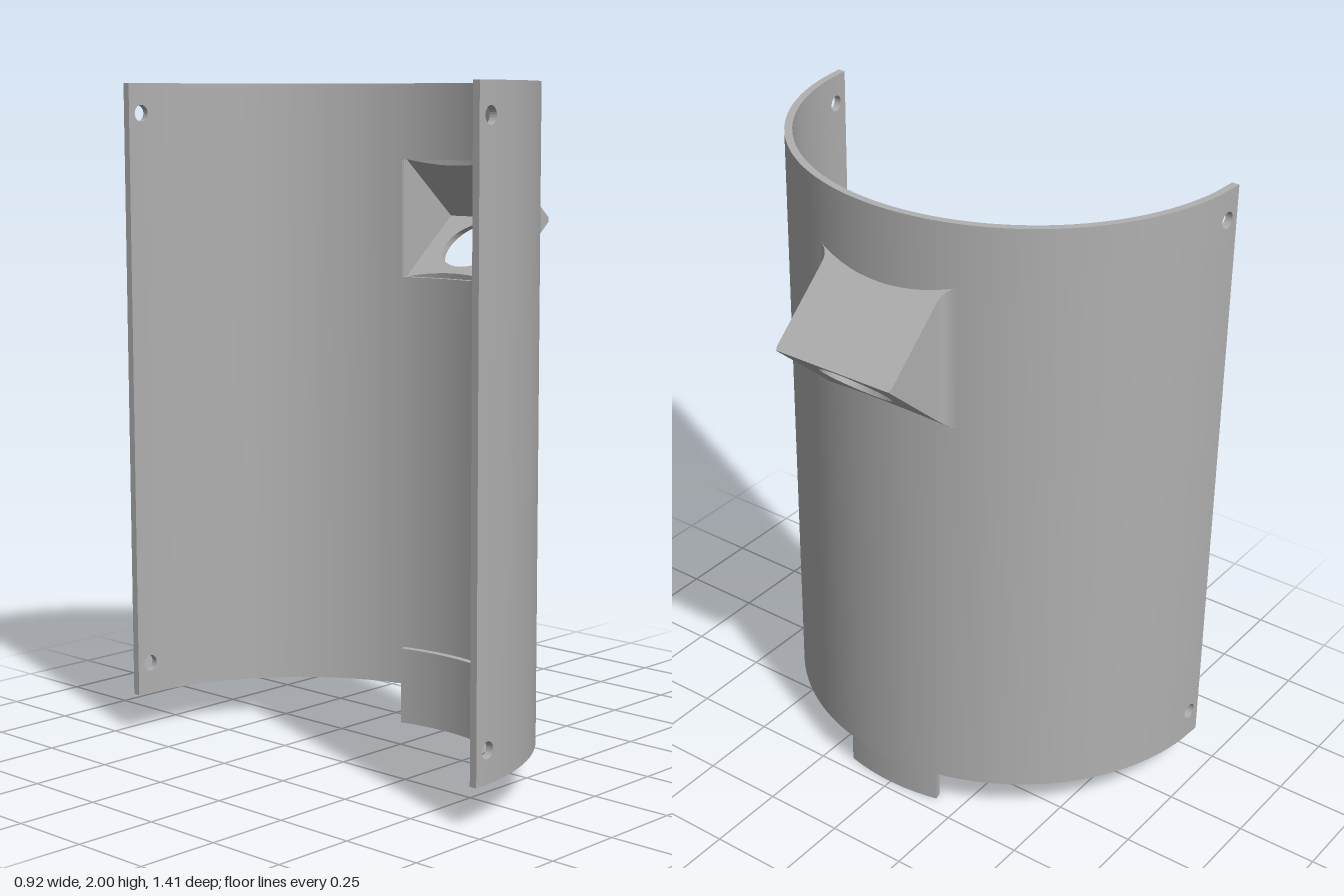
import * as THREE from 'three';
import { toCreasedNormals } from 'three/addons/utils/BufferGeometryUtils.js';

const grey = new THREE.MeshStandardMaterial({ color: 0xb0b0b0 });
grey.name = 'grey';

const CX = -0.46, RO = 0.703, RI = 0.68, Y0 = 0.12, Y1 = 2;   // shell axis, radii, height
const TIP = 0.455, MID = 1.59, SLOPE = 0.872;                 // housing ridge and slope
const COS = 1 / Math.hypot(1, SLOPE), SIN = SLOPE * COS;
const HALF = 0.176;                                           // half width of the housing cavity
const rad = THREE.MathUtils.degToRad;

function part(name, geometry) {
  const mesh = new THREE.Mesh(geometry, grey);
  mesh.name = name;
  return mesh;
}

// Moves every vertex by a rule, then rebuilds normals with sharp edges kept
function reshape(geometry, rule) {
  const p = geometry.attributes.position, v = new THREE.Vector3();
  for (let i = 0; i < p.count; i++) {
    rule(v.fromBufferAttribute(p, i));
    p.setXYZ(i, v.x, v.y, v.z);
  }
  return toCreasedNormals(geometry, 0.6);
}

// Half-round shell: columns bent round the axis, with a window and four screw holes
function shellGeometry() {
  const pos = [], nor = [];
  const bend = (p, r) => new THREE.Vector3(CX + r * Math.cos(p.x), p.y, -r * Math.sin(p.x));
  const tri = (pts, normals) => pts.forEach((p, i) => {
    pos.push(p.x, p.y, p.z);
    nor.push(normals[i].x, normals[i].y, normals[i].z);
  });

  const edges = [-90, -83];
  for (let a = -81; a <= 81; a += 3) edges.push(a);
  edges.push(83, 90);

  const rim = (loop) => loop.forEach((a, i) => {
    const b = loop[(i + 1) % loop.length];
    const [ia, ib, ob, oa] = [bend(a, RI), bend(b, RI), bend(b, RO), bend(a, RO)];
    const n = ib.clone().sub(ia).cross(ob.clone().sub(ia)).normalize();
    tri([ia, ib, ob], [n, n, n]);
    tri([ia, ob, oa], [n, n, n]);
  });

  const face = (shape) => {
    const g = new THREE.ShapeGeometry(shape), q = g.attributes.position, idx = g.index.array;
    for (let i = 0; i < idx.length; i += 3) {
      const pts = [0, 1, 2].map((k) => new THREE.Vector3().fromBufferAttribute(q, idx[i + k]));
      const out = pts.map((p) => new THREE.Vector3(Math.cos(p.x), 0, -Math.sin(p.x)));
      tri(pts.map((p) => bend(p, RO)), out);
      tri(pts.map((p) => bend(p, RI)).reverse(), out.map((n) => n.clone().negate()).reverse());
    }
  };

  const box = (a, b, lo, hi) => new THREE.Shape([[a, lo], [b, lo], [b, hi], [a, hi]]
    .map(([x, y]) => new THREE.Vector2(x, y)));
  const WLO = 1.41, WHI = 1.77;
  for (let i = 0; i < edges.length - 1; i++) {
    const a = rad(edges[i]), b = rad(edges[i + 1]);
    if (edges[i] >= -15 && edges[i + 1] <= 15) {
      face(box(a, b, Y0, WLO));
      face(box(a, b, WHI, Y1));
      continue;
    }
    const column = box(a, b, Y0, Y1);
    if (i === 0 || i === edges.length - 2) {
      for (const y of [0.215, 1.91]) {
        const hole = new THREE.Path();
        hole.absellipse(Math.sign(a) * rad(86.1), y, 0.025 / RO, 0.025, 0, Math.PI * 2, true);
        column.holes.push(hole);
        rim(hole.getPoints(12).slice(0, -1));
      }
    }
    face(column);
  }

  // Outer rim and window rim
  const row = (list, y) => list.map((d) => new THREE.Vector2(rad(d), y));
  const inner = edges.filter((d) => Math.abs(d) <= 15);
  rim([...row(edges, Y0), ...row(edges, Y1).reverse()]);
  rim([...row(inner, WLO), ...row(inner, WHI).reverse()].reverse());

  const g = new THREE.BufferGeometry();
  g.setAttribute('position', new THREE.Float32BufferAttribute(pos, 3));
  g.setAttribute('normal', new THREE.Float32BufferAttribute(nor, 3));
  return g;
}

// Sloped plate from the ridge to the shell; side +1 is the roof, -1 the underside with the round port
function plateGeometry(side) {
  const shape = new THREE.Shape();
  shape.moveTo(-HALF, 0).lineTo(HALF, 0);
  for (let i = 0; i <= 12; i++) {
    const z = HALF * (1 - i / 6);
    shape.lineTo(z, (TIP - CX - Math.sqrt(0.49 - z * z)) / COS);
  }
  if (side < 0) {
    const port = new THREE.Path();
    port.absarc(0, 0.139, 0.112, 0, Math.PI * 2, true);
    shape.holes.push(port);
  }
  const g = new THREE.ExtrudeGeometry(shape, { depth: 1, bevelEnabled: false, curveSegments: 40 });
  return reshape(g, (v) => {
    const s = v.y * (1 - 0.13 * v.z), ridge = TIP - 0.03 * v.z;   // mitred at the ridge
    v.set(ridge - s * COS, MID + side * s * SIN, side * v.x);
  });
}

// Triangular cheek with a rounded outer edge and a fillet flaring into the shell
function cheekGeometry(side) {
  const s = new THREE.Shape(), z = (d) => -side * d;
  s.moveTo(0.205, z(HALF));
  s.lineTo(TIP, z(HALF));
  s.lineTo(TIP, z(0.186));
  s.quadraticCurveTo(TIP, z(0.2), 0.441, z(0.2));
  s.lineTo(0.245, z(0.2));
  s.quadraticCurveTo(0.215, z(0.2), 0.2025, z(0.235));
  s.lineTo(0.193, z(0.235));
  const g = new THREE.ExtrudeGeometry(s, { depth: 1, bevelEnabled: false, curveSegments: 8 });
  g.rotateX(-Math.PI / 2);
  return reshape(g, (v) => { v.y = MID + (v.y * 2 - 1) * (TIP - v.x) * SLOPE; });
}

// Curved tongue inside the lower edge
function tongueGeometry() {
  const a = rad(14.2), s = new THREE.Shape();
  s.absarc(CX, 0, RI, -a, a, false);
  s.absarc(CX, 0, 0.657, a, -a, true);
  const g = new THREE.ExtrudeGeometry(s, { depth: 0.24, bevelEnabled: false, curveSegments: 12 });
  g.rotateX(-Math.PI / 2);
  return toCreasedNormals(g, 0.6);
}

export function createModel() {
  const model = new THREE.Group();
  model.name = 'halfRoundCover';
  model.add(part('shell', shellGeometry()), part('tongue', tongueGeometry()));

  const housing = new THREE.Group();
  housing.name = 'housing';
  housing.add(
    part('roofPlate', plateGeometry(1)),
    part('portPlate', plateGeometry(-1)),
    part('frontCheek', cheekGeometry(1)),
    part('backCheek', cheekGeometry(-1)),
  );
  model.add(housing);
  return model;
}
